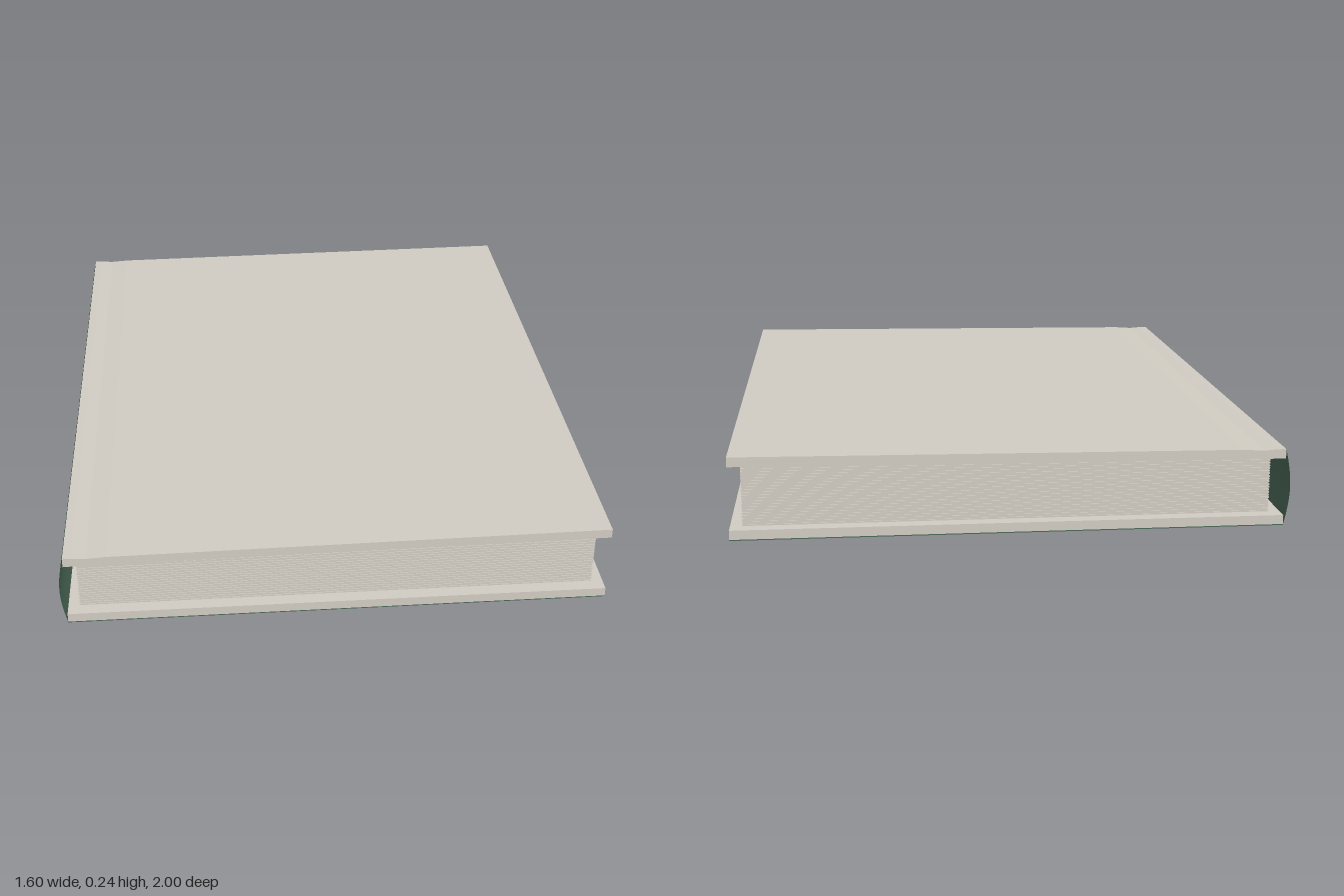
import * as THREE from 'three';

const cream = new THREE.MeshStandardMaterial({ name: 'cream paper', color: 0xd2cdc3 });
const green = new THREE.MeshStandardMaterial({ name: 'green cloth', color: 0x4a6957, side: THREE.DoubleSide });

// Extrude an x/y profile along z, centred on z = 0
function slab(points, depth, material, name) {
  const shape = new THREE.Shape(points.map(([x, y]) => new THREE.Vector2(x, y)));
  const geometry = new THREE.ExtrudeGeometry(shape, { depth, bevelEnabled: false });
  geometry.translate(0, 0, -depth / 2);
  const mesh = new THREE.Mesh(geometry, material);
  mesh.name = name;
  return mesh;
}

export function createModel() {
  const book = new THREE.Group();
  book.name = 'book';

  // Back board lying flat
  book.add(slab([[-0.785, 0.003], [0.8, 0.003], [0.8, 0.03], [-0.785, 0.03]], 2, cream, 'backBoard'));

  // Front board rises toward the open edge, with a shallow hinge dip by the spine
  const top = [[0.8, 0.242], [-0.66, 0.228], [-0.72, 0.224], [-0.76, 0.227], [-0.785, 0.227]];
  const bottom = [[-0.785, 0.199], [-0.76, 0.2], [-0.72, 0.198], [-0.66, 0.2], [0.8, 0.214]];
  book.add(slab([...top, ...bottom], 2, cream, 'frontBoard'));

  // Thin cloth under the back board
  const cloth = new THREE.Mesh(new THREE.BoxGeometry(1.585, 0.003, 2), green);
  cloth.position.set(0.0075, 0.0015, 0);
  cloth.name = 'backCloth';
  book.add(cloth);

  // Rounded spine: an open curved sheet
  const spineGeometry = new THREE.PlaneGeometry(1, 2, 16, 1);
  const p = spineGeometry.attributes.position;
  for (let i = 0; i < p.count; i++) {
    const t = p.getX(i) + 0.5;
    const z = p.getY(i);
    p.setXYZ(i, -0.785 - 0.016 * Math.sin(Math.PI * t), 0.227 * t, z);
  }
  // Face the sheet outward
  const index = spineGeometry.index.array;
  for (let i = 0; i < index.length; i += 3) [index[i], index[i + 1]] = [index[i + 1], index[i]];
  spineGeometry.computeVertexNormals();
  const spine = new THREE.Mesh(spineGeometry, green);
  spine.name = 'spine';
  book.add(spine);

  // Page block of stacked sheets, fanning slightly toward the open edge
  const pages = new THREE.Group();
  pages.name = 'pages';
  const count = 40;
  const left = (i) => 0.03 + (0.16 * i) / count;
  const right = (i) => 0.03 + (0.172 * i) / count;
  for (let i = 0; i < count; i++) {
    const inset = (i % 2) * 0.002;
    const x0 = -0.752 + inset;
    const x1 = 0.766 - inset;
    pages.add(slab(
      [[x0, left(i)], [x1, right(i)], [x1, right(i + 1)], [x0, left(i + 1)]],
      1.92 - 2 * inset, cream, 'sheet'
    ));
  }
  book.add(pages);
  return book;
}
